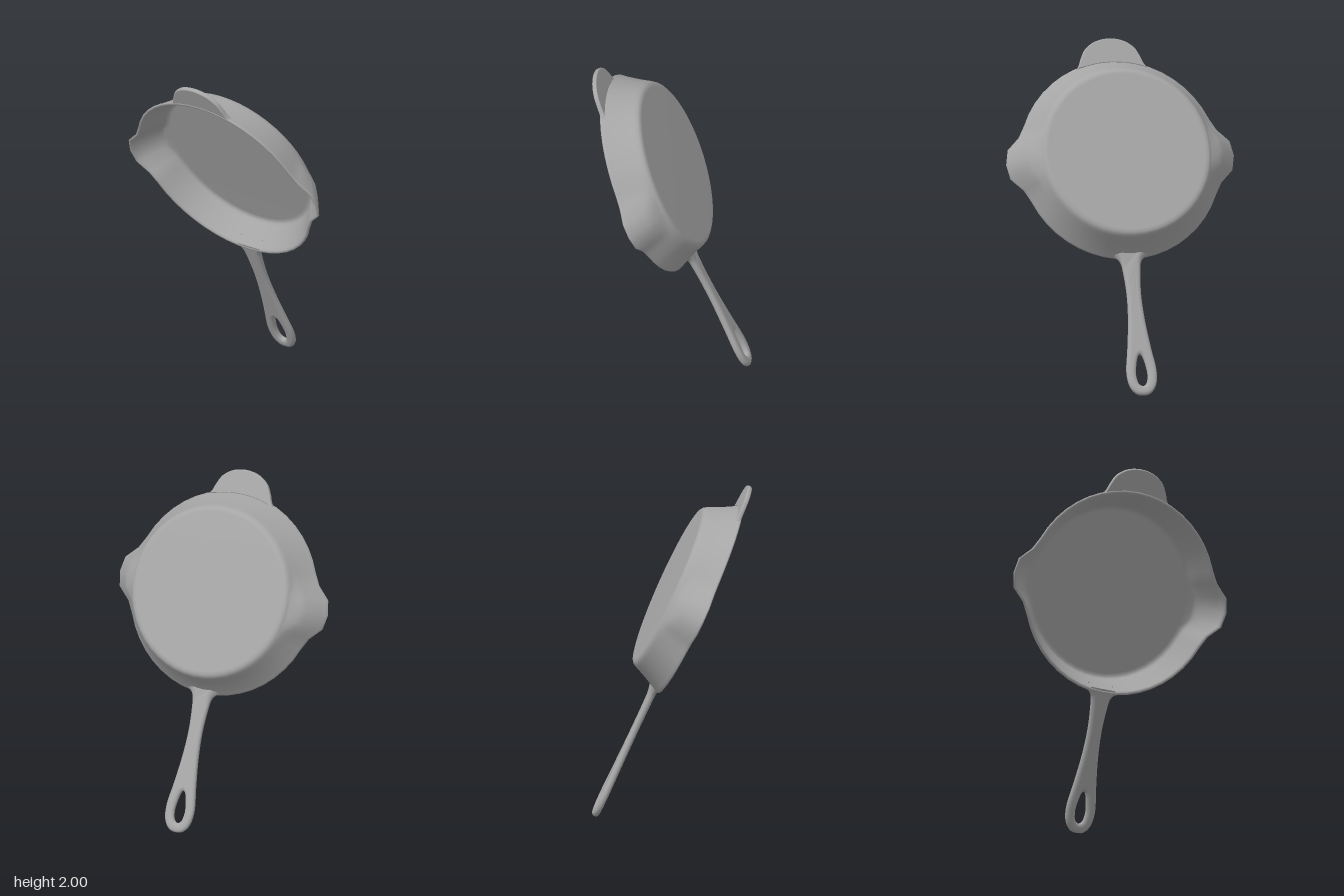
import * as THREE from 'three';
import { mergeVertices } from 'three/addons/utils/BufferGeometryUtils.js';

const iron = new THREE.MeshStandardMaterial({ color: 0xa6a6a6 });
iron.name = 'cast iron';

const v2 = ([x, y]) => new THREE.Vector2(x, y);

// Smooth outline through a half that ends on the axis, and its mirror image
function symmetric(half, count) {
  const mirror = half.slice(0, -1).reverse().map(([x, y]) => [-x, y]);
  return new THREE.SplineCurve([...half, ...mirror].map(v2)).getPoints(count);
}

// Flat casting with rounded edges; its front lies at z = 0
function casting(shape, thickness, edgeWidth, edgeDepth) {
  const g = new THREE.ExtrudeGeometry(shape, {
    depth: thickness - 2 * edgeDepth, bevelThickness: edgeDepth, bevelSize: edgeWidth,
    bevelOffset: -edgeWidth, bevelSegments: 5,
  });
  return g.translate(0, 0, edgeDepth - thickness);
}

// Mesh with smooth normals, weighted so that flat faces stay flat
function part(name, geometry) {
  geometry.deleteAttribute('uv');
  geometry.deleteAttribute('normal');
  const smooth = mergeVertices(geometry, 1e-5);
  smooth.computeVertexNormals();
  const mesh = new THREE.Mesh(smooth, iron);
  mesh.name = name;
  return mesh;
}

// Bowl: turned profile with a pouring spout pushed out on both sides
function bowl() {
  const profile = [
    [0, -0.213], [0.478, -0.213], [0.498, -0.209], [0.512, -0.199], [0.521, -0.182],
    [0.533, -0.155], [0.549, -0.12], [0.569, -0.08], [0.588, -0.045], [0.603, -0.018], [0.611, -0.006],
    [0.609, 0.001], [0.602, 0.003], [0.594, 0], [0.588, -0.01],
    [0.571, -0.045], [0.553, -0.08], [0.535, -0.115], [0.521, -0.143], [0.514, -0.157], [0.503, -0.166],
    [0.485, -0.168], [0, -0.168],
  ].map(v2);
  const g = new THREE.LatheGeometry(profile, 48).rotateX(Math.PI / 2);
  const p = g.attributes.position;
  for (let i = 0; i < p.count; i++) {
    const x = p.getX(i), y = p.getY(i), r = Math.hypot(x, y);
    if (r < 0.49) continue;
    const off = THREE.MathUtils.radToDeg(Math.atan2(Math.abs(y), Math.abs(x)));
    const height = THREE.MathUtils.clamp(1 + p.getZ(i) / 0.18, 0, 1);
    const push = 0.086 * (1 - THREE.MathUtils.smoothstep(off, 4, 19)) * Math.pow(height, 0.35);
    p.setXY(i, x * (1 + push / r), y * (1 + push / r));
  }
  return part('bowl', g);
}

// Handle: waisted oval bar with a teardrop hanging hole
function handle() {
  const shape = new THREE.Shape(symmetric([
    [0.1, -0.594], [0.064, -0.632], [0.052, -0.7], [0.044, -0.84], [0.052, -1.0],
    [0.073, -1.17], [0.092, -1.3], [0.082, -1.39], [0.046, -1.441], [0, -1.453],
  ], 72));
  const hole = symmetric([
    [0, -1.2], [0.014, -1.215], [0.027, -1.262], [0.035, -1.325], [0.025, -1.378], [0, -1.396],
  ], 30);
  shape.holes.push(new THREE.Path(hole.slice(0, -1).reverse()));
  const g = casting(shape, 0.042, 0.024, 0.018);
  // Root runs on under the rim into the bowl wall
  const p = g.attributes.position;
  for (let i = 0; i < p.count; i++) {
    const back = Math.max(0, (-0.021 - p.getZ(i)) / 0.021);
    const k = back * THREE.MathUtils.clamp((p.getY(i) + 0.65) / 0.04, 0, 1);
    p.setZ(i, p.getZ(i) - 0.012 * k);
    p.setY(i, p.getY(i) + 0.03 * k);
  }
  return part('handle', g);
}

// Helper grip: thin rounded tab opposite the handle, seated in the rim
function helperTab() {
  const outline = symmetric([
    [0.212, 0.566], [0.196, 0.592], [0.178, 0.637], [0.146, 0.69], [0.083, 0.732], [0, 0.747],
  ], 48);
  const seat = [-0.15, -0.1, -0.05, 0, 0.05, 0.1, 0.15].map((x) => v2([x, Math.sqrt(0.597 ** 2 - x * x)]));
  return part('helperTab', casting(new THREE.Shape([...outline, ...seat]), 0.028, 0.007, 0.011));
}

export function createModel() {
  const skillet = new THREE.Group();
  skillet.name = 'skillet';
  skillet.add(bowl(), handle(), helperTab());
  // Lean the whole pan forward, handle down
  skillet.rotation.x = 0.433;
  skillet.position.set(0, 1.32, 0.163);
  const model = new THREE.Group();
  model.name = 'model';
  model.add(skillet);
  return model;
}
